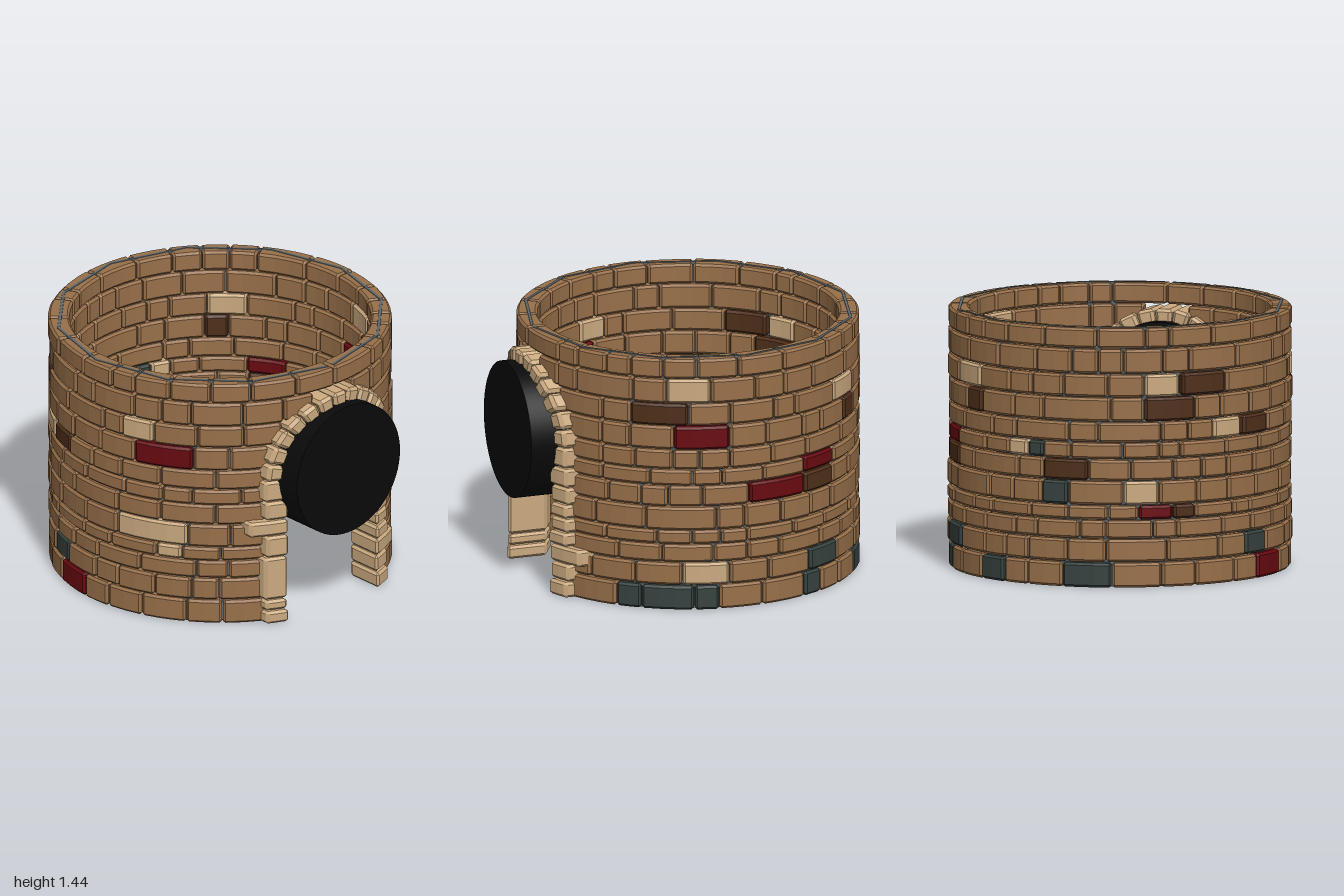
import * as THREE from 'three';
import { mergeGeometries } from 'three/addons/utils/BufferGeometryUtils.js';

const CZ = -0.055, R_IN = 0.828, R_OUT = 0.943;   // wall ring
const ARCH_Y = 0.857, ARCH_IN = 0.328, ARCH_OUT = 0.455;
const RAD = Math.PI / 180;

function seeded(seed) {
  return () => {
    seed = (seed * 16807) % 2147483647;
    return seed / 2147483647;
  };
}

// Chamfered block swept along u; map(u, v, w) bends it into place
function block([u0, u1], [v0, v1], [w0, w1], b, n, map) {
  const section = [
    [v0 + b, w0], [v1 - b, w0], [v1, w0 + b], [v1, w1 - b],
    [v1 - b, w1], [v0 + b, w1], [v0, w1 - b], [v0, w0 + b]];
  const clamp = THREE.MathUtils.clamp;
  const inset = section.map(([v, w]) => [clamp(v, v0 + b, v1 - b), clamp(w, w0 + b, w1 - b)]);
  const rings = [inset.map(([v, w]) => map(u0, v, w))];
  for (let i = 0; i <= n; i++) {
    const u = u0 + b + (u1 - u0 - 2 * b) * i / n;
    rings.push(section.map(([v, w]) => map(u, v, w)));
  }
  rings.push(inset.map(([v, w]) => map(u1, v, w)));
  const pos = [];
  const tri = (...pts) => pts.forEach(p => pos.push(...p));
  for (let i = 0; i < rings.length - 1; i++) {
    for (let j = 0; j < 8; j++) {
      const k = (j + 1) % 8, p = rings[i], q = rings[i + 1];
      tri(p[j], p[k], q[k]);
      tri(p[j], q[k], q[j]);
    }
  }
  const first = rings[0], last = rings[rings.length - 1];
  for (let j = 1; j < 7; j++) {
    tri(first[0], first[j + 1], first[j]);
    tri(last[0], last[j], last[j + 1]);
  }
  const g = new THREE.BufferGeometry();
  g.setAttribute('position', new THREE.Float32BufferAttribute(pos, 3));
  g.computeVertexNormals();
  return g;
}

// Arc length round the wall, height, radius
const onWall = (u, y, r) => [r * Math.sin(u / R_OUT), y, CZ + r * Math.cos(u / R_OUT)];
// Straight doorway stones, following the wall's curve in depth
const onDoor = (x, y, r) => [x, y, CZ + Math.sqrt(r * r - x * x)];
// Stones fanned round the arch
const onArch = (u, v, r) => onDoor(v * Math.sin(u / 0.39), ARCH_Y + v * Math.cos(u / 0.39), r);

const ROWS = [0, 0.138, 0.268, 0.373, 0.455, 0.59, 0.71, 0.803, 0.917, 1.053, 1.182, 1.323, 1.44];

// Coloured bricks: row, start and end angle, colour (0 degrees is the front, 90 is +x)
const ACCENTS = [
  [0, 45, 54, 'slate'], [0, 54, 72, 'slate'], [0, 72, 80.5, 'slate'], [0, 113, 121, 'slate'],
  [0, 144, 155, 'slate'], [0, 178, 195, 'slate'], [0, 251, 266, 'red'],
  [1, 68, 84, 'tan'], [1, 115, 130, 'slate'], [1, 245, 256, 'slate'],
  [3, 204, 216, 'red'], [3, 216, 224, 'dark'], [3, 296, 305, 'tan'],
  [4, 170.5, 180, 'slate'], [4, 199, 211, 'tan'], [4, 281, 307, 'tan'],
  [5, 91, 113, 'red'], [5, 113, 127.5, 'dark'], [5, 171, 187, 'dark'],
  [6, 113, 128, 'red'], [6, 157, 165, 'tan'], [6, 165, 171, 'slate'],
  [7, 231, 243, 'tan'], [7, 244, 257, 'dark'],
  [8, 65, 84, 'red'], [8, 135, 144, 'dark'], [8, 206, 224, 'dark'], [8, 288, 309, 'red'],
  [9, 50, 70, 'dark'], [9, 128, 143, 'tan'], [9, 206, 218, 'tan'], [9, 219, 236, 'dark'],
  [9, 283, 295, 'tan'],
  [10, 62.5, 77.5, 'tan'],
];

export function createModel() {
  const model = new THREE.Group();
  model.name = 'roundBrickWall';
  const material = (name, color) => Object.assign(
    new THREE.MeshStandardMaterial({ color }), { name });
  const mats = {
    brown: material('brownBrick', 0x98704a),
    tan: material('tanStone', 0xcbaa80),
    dark: material('darkBrownBrick', 0x4f2f1a),
    red: material('redBrick', 0x690a10),
    slate: material('slateBrick', 0x36423f),
    mortar: material('greyMortar', 0x5b676d),
    black: material('black', 0x0a0a0a),
  };
  const add = (name, geometry, mat, parent = model) => {
    const mesh = new THREE.Mesh(geometry, mat);
    mesh.name = name;
    parent.add(mesh);
    return mesh;
  };
  const rand = seeded(4711);

  // Wall: twelve courses of bricks with a thin mortar core
  const wall = new THREE.Group();
  wall.name = 'wall';
  model.add(wall);
  const mortar = [];
  for (let row = 0; row < 12; row++) {
    const y0 = ROWS[row], y1 = ROWS[row + 1];
    const dy = Math.max(0, (y0 + y1) / 2 - ARCH_Y);
    const open = dy < 0.42 ? Math.asin(Math.sqrt(0.42 ** 2 - dy * dy) / 0.94) / RAD : 0;
    const bricks = { brown: [], tan: [], dark: [], red: [], slate: [] };
    const lay = (a0, a1, colour) => {
      const out = R_OUT + (rand() - 0.5) * 0.01;
      const n = Math.max(1, Math.round((a1 - a0) / 6));
      bricks[colour].push(block([a0 * RAD * R_OUT + 0.003, a1 * RAD * R_OUT - 0.003],
        [y0 + (row ? 0.003 : 0), y1 - 0.003], [R_IN, out], 0.013, n, onWall));
    };
    // Fill the stretch between two fixed bricks with uneven plain ones
    const fill = (a0, a1) => {
      if (a1 - a0 < 2) return;
      const count = Math.max(1, Math.round((a1 - a0) / 14));
      const sizes = Array.from({ length: count }, () => 0.55 + rand() * 0.9);
      const total = sizes.reduce((s, v) => s + v, 0);
      let a = a0;
      for (const s of sizes) {
        const next = a + (a1 - a0) * s / total;
        lay(a, next, 'brown');
        a = next;
      }
    };
    let at = open;
    for (const [, a0, a1, colour] of ACCENTS.filter(c => c[0] === row)) {
      fill(at, a0);
      lay(a0, a1, colour);
      at = a1;
    }
    fill(at, 360 - open);
    for (const [colour, list] of Object.entries(bricks)) {
      if (list.length) add(`${colour}BricksRow${row + 1}`, mergeGeometries(list), mats[colour], wall);
    }
    mortar.push(block([(open + 1) * RAD * R_OUT, (359 - open) * RAD * R_OUT],
      [y0, y1], [0.898, 0.915], 0.0005, 12, onWall));
  }
  add('mortar', mergeGeometries(mortar), mats.mortar, wall);

  // Doorway: jamb stones on both sides, one wider stone on each
  const door = new THREE.Group();
  door.name = 'doorway';
  model.add(door);
  const jamb = (name, heights, wideAt, side) => {
    const stones = [];
    for (let i = 0; i < heights.length - 1; i++) {
      const far = i === wideAt ? 0.528 : ARCH_OUT - rand() * 0.012;
      const near = ARCH_IN - 0.008 + rand() * 0.012;
      const span = side > 0 ? [near, far] : [-far, -near];
      stones.push(block(span, [heights[i] + (i ? 0.003 : 0), heights[i + 1] - 0.003],
        [0.778, 0.98 + rand() * 0.012], 0.014, 2, onDoor));
    }
    add(name, mergeGeometries(stones), mats.tan, door);
  };
  jamb('rightJamb', [0, 0.075, 0.14, 0.395, 0.525, 0.618, 0.73, ARCH_Y], 4, -1);
  jamb('leftJamb', [0, 0.09, 0.19, 0.29, 0.37, 0.45, 0.53, 0.63, 0.74, ARCH_Y], 2, 1);

  // Arch of wedge stones
  const wedges = [], count = 13, step = Math.PI * 0.39 / count;
  for (let i = 0; i < count; i++) {
    const u = (i - count / 2) * step;
    wedges.push(block([u + 0.003, u + step - 0.003], [ARCH_IN, ARCH_OUT - rand() * 0.008],
      [0.775, 0.99 + rand() * 0.015], 0.016, 1, onArch));
  }
  add('arch', mergeGeometries(wedges), mats.tan, door);

  // Black plug in the arch
  const plug = add('archPlug', new THREE.CylinderGeometry(0.38, 0.38, 0.335, 64), mats.black);
  plug.rotation.x = Math.PI / 2;
  plug.position.set(0, 0.86, 0.8325);

  return model;
}
